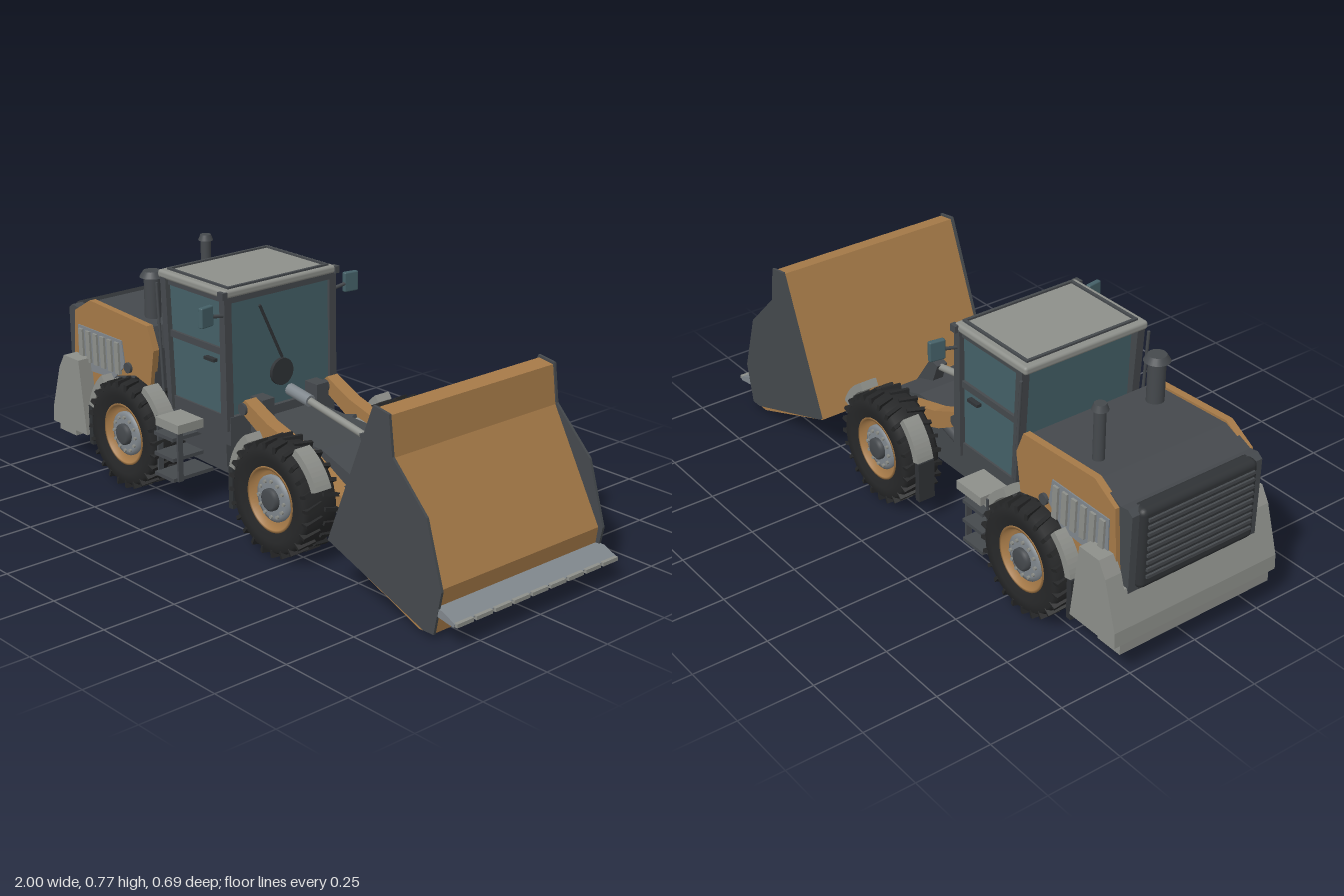
import * as THREE from 'three';
import { RoundedBoxGeometry } from 'three/addons/geometries/RoundedBoxGeometry.js';

const mat = color => new THREE.MeshStandardMaterial({ color });
const ORANGE = mat(0xa67a48), DARK = mat(0x45494d), LIGHT = mat(0x8e908b), GLASS = mat(0x456168);
const TYRE = mat(0x262728), STEEL = mat(0x80878d), BLACK = mat(0x303336);

function group(parent, name) {
  const g = new THREE.Group();
  g.name = name;
  parent.add(g);
  return g;
}
function add(parent, name, geo, material, x = 0, y = 0, z = 0) {
  const m = new THREE.Mesh(geo, material);
  m.name = name;
  m.position.set(x, y, z);
  parent.add(m);
  return m;
}
// box given by its limits on each axis
function box(parent, name, material, x0, x1, y0, y1, z0, z1) {
  return add(parent, name, new THREE.BoxGeometry(x1 - x0, y1 - y0, z1 - z0), material,
    (x0 + x1) / 2, (y0 + y1) / 2, (z0 + z1) / 2);
}
// side profile in x,y drawn out from z0 to z1
function profile(parent, name, material, pts, z0, z1) {
  const shape = new THREE.Shape(pts.map(p => new THREE.Vector2(...p)));
  add(parent, name, new THREE.ExtrudeGeometry(shape, { depth: z1 - z0, bevelEnabled: false }), material, 0, 0, z0);
}
// round bar between two points
function bar(parent, name, material, a, b, r, sides = 14) {
  const p = new THREE.Vector3(...a), d = new THREE.Vector3(...b).sub(p);
  const m = add(parent, name, new THREE.CylinderGeometry(r, r, d.length(), sides), material);
  m.position.copy(p).addScaledVector(d, 0.5);
  m.quaternion.setFromUnitVectors(new THREE.Vector3(0, 1, 0), d.normalize());
}
function lathe(parent, name, material, pts) {
  const geo = new THREE.LatheGeometry(pts.map(p => new THREE.Vector2(...p)), 48);
  add(parent, name, geo.rotateX(Math.PI / 2), material);
}
// span on one side of the model, in ascending order
const span = (s, a, b) => s > 0 ? [a, b] : [-b, -a];

// wheel with its outer face towards +z, turned round for the far side
function wheel(parent, x, side) {
  const g = group(parent, 'wheel');
  lathe(g, 'tyre', TYRE, [[0.1, -0.055], [0.135, -0.066], [0.165, -0.066], [0.175, -0.052], [0.178, 0],
    [0.175, 0.052], [0.165, 0.066], [0.135, 0.066], [0.1, 0.055]]);
  lathe(g, 'rim', ORANGE, [[0, -0.045], [0.106, -0.058], [0.106, 0.058], [0.098, 0.058], [0.085, 0.035], [0, 0.035]]);
  lathe(g, 'hub', STEEL, [[0.075, 0.03], [0.075, 0.045], [0.06, 0.05], [0, 0.05]]);
  lathe(g, 'hubCap', DARK, [[0.036, 0.048], [0.036, 0.062], [0.028, 0.068], [0, 0.068]]);
  for (let i = 0; i < 12; i++) {
    const a = i / 12 * Math.PI * 2, bx = 0.058 * Math.cos(a), by = 0.058 * Math.sin(a);
    bar(g, 'wheelBolt', LIGHT, [bx, by, 0.045], [bx, by, 0.057], 0.006, 6);
  }
  for (let i = 0; i < 48; i++) {
    const lug = group(g, 'treadLug'), s = i % 2 ? 1 : -1;
    const m = box(lug, 'lugBlock', TYRE, 0.16, 0.185, -0.006, 0.006, s * 0.036 - 0.032, s * 0.036 + 0.032);
    m.rotation.x = s * 0.25;
    lug.rotation.z = i / 48 * Math.PI * 2;
  }
  g.position.set(x, 0.187, side * 0.26);
  if (side < 0) g.rotation.y = Math.PI;
}
// curved mudguard piece around a wheel centre, between two angles in degrees
function mudguard(parent, x, from, to, z0, z1) {
  const s = new THREE.Shape(), a = from * Math.PI / 180, b = to * Math.PI / 180;
  s.absarc(x, 0.187, 0.216, a, b, false);
  s.absarc(x, 0.187, 0.19, b, a, true);
  const geo = new THREE.ExtrudeGeometry(s, { depth: z1 - z0, bevelEnabled: false, curveSegments: 5 });
  add(parent, 'mudguard', geo, LIGHT, 0, 0, z0);
}
// upright pipe with cap
function stack(parent, name, x, z, r, top, cap) {
  bar(parent, name, DARK, [x, 0.54, z], [x, top, z], r, 24);
  add(parent, name + 'Cap', new THREE.CylinderGeometry(cap * 0.7, cap, 0.02, 24), DARK, x, top, z);
}

export function createModel() {
  const model = new THREE.Group();
  model.name = 'earthMover';
  const sides = [1, -1];

  // chassis, wheels and steps
  const chassis = group(model, 'chassis');
  profile(chassis, 'rearFrame', DARK, [[-0.92, 0.14], [-0.2, 0.12], [-0.2, 0.24], [-0.36, 0.32], [-0.92, 0.34]], -0.17, 0.17);
  box(chassis, 'articulationJoint', BLACK, -0.22, -0.08, 0.14, 0.28, -0.09, 0.09);
  profile(chassis, 'frontFrame', DARK, [[-0.12, 0.12], [0.28, 0.12], [0.37, 0.2], [0.35, 0.26], [0.2, 0.31], [-0.12, 0.32]], -0.13, 0.13);
  for (const x of [-0.58, 0.173]) {
    bar(chassis, 'axle', DARK, [x, 0.187, -0.23], [x, 0.187, 0.23], 0.05, 20);
    for (const s of sides) {
      const guard = span(s, 0.245, 0.305);
      wheel(model, x, s);
      mudguard(chassis, x, 22, 62, ...guard);
      mudguard(chassis, x, 128, 168, ...guard);
      box(chassis, 'mudflap', BLACK, x - 0.215, x - 0.195, 0.09, 0.23, ...guard);
    }
  }
  for (const s of sides) {
    box(chassis, 'topStep', LIGHT, -0.39, -0.27, 0.275, 0.305, ...span(s, 0.22, 0.325));
    for (const y of [0.1, 0.17, 0.24]) box(chassis, 'step', DARK, -0.4, -0.3, y, y + 0.012, ...span(s, 0.16, 0.325));
    for (const x of [-0.405, -0.3]) box(chassis, 'stepRail', DARK, x, x + 0.008, 0.1, 0.3, ...span(s, 0.29, 0.31));
    box(chassis, 'sideTank', DARK, -0.42, -0.18, 0.16, 0.28, ...span(s, 0.16, 0.2));
    box(chassis, 'armTower', DARK, -0.13, -0.07, 0.28, 0.4, ...span(s, 0.09, 0.14));
  }

  // engine hood and counterweight
  const hood = group(model, 'engineHood');
  profile(hood, 'hoodCore', DARK, [[-0.97, 0.26], [-0.975, 0.525], [-0.955, 0.54], [-0.925, 0.535], [-0.83, 0.576],
    [-0.512, 0.56], [-0.485, 0.49], [-0.5, 0.3], [-0.6, 0.26]], -0.245, 0.245);
  add(hood, 'rearGrille', new RoundedBoxGeometry(0.06, 0.27, 0.44, 3, 0.02), BLACK, -0.96, 0.405, 0);
  for (let i = 0; i < 9; i++) box(hood, 'grilleLouver', DARK, -0.997, -0.98, 0.31 + i * 0.024, 0.32 + i * 0.024, -0.2, 0.2);
  for (const s of sides) {
    profile(hood, 'sidePanel', ORANGE, [[-0.94, 0.25], [-0.92, 0.53], [-0.83, 0.584], [-0.51, 0.568], [-0.478, 0.49],
      [-0.5, 0.36], [-0.58, 0.38], [-0.7, 0.35], [-0.77, 0.25]], ...span(s, 0.236, 0.26));
    profile(hood, 'ventPanel', STEEL, [[-0.9, 0.33], [-0.9, 0.485], [-0.65, 0.485], [-0.635, 0.4], [-0.7, 0.34]], ...span(s, 0.25, 0.264));
    for (let i = 0; i < 6; i++) {
      const x = -0.885 + i * 0.041;
      profile(hood, 'ventSlat', LIGHT, [[x, 0.365], [x + 0.022, 0.365], [x + 0.018, 0.475], [x - 0.004, 0.475]], ...span(s, 0.255, 0.272));
    }
    bar(hood, 'fuelCap', DARK, [-0.615, 0.4, s * 0.24], [-0.615, 0.4, s * 0.27], 0.018, 20);
    profile(hood, 'counterweightSide', LIGHT, [[-1, 0.12], [-0.8, 0.12], [-0.835, 0.38], [-0.92, 0.38], [-0.95, 0.33], [-0.998, 0.17]],
      ...span(s, 0.255, 0.313));
    box(hood, 'towLug', DARK, -0.96, -0.9, 0.075, 0.1, ...span(s, 0.12, 0.15));
  }
  profile(hood, 'counterweight', LIGHT, [[-1, 0.12], [-0.86, 0.12], [-0.86, 0.28], [-0.965, 0.28], [-0.998, 0.17]], -0.256, 0.256);
  box(hood, 'rearBumper', LIGHT, -0.997, -0.9, 0.085, 0.12, -0.29, 0.29);
  stack(hood, 'exhaustPipe', -0.745, -0.175, 0.018, 0.745, 0.026);
  stack(hood, 'airIntake', -0.595, 0.17, 0.028, 0.712, 0.042);

  // cab
  const cab = group(model, 'cab');
  profile(cab, 'cabGlass', GLASS, [[-0.425, 0.33], [-0.145, 0.33], [-0.148, 0.735], [-0.44, 0.735]], -0.215, 0.215);
  box(cab, 'cabBase', DARK, -0.43, -0.13, 0.25, 0.345, -0.222, 0.222);
  box(cab, 'roofSill', DARK, -0.455, -0.14, 0.718, 0.74, -0.222, 0.222);
  add(cab, 'roof', new RoundedBoxGeometry(0.346, 0.028, 0.466, 2, 0.01), LIGHT, -0.31, 0.748, 0);
  for (const s of sides) {
    profile(cab, 'frontPillar', DARK, [[-0.165, 0.3], [-0.133, 0.3], [-0.14, 0.74], [-0.165, 0.74]], ...span(s, 0.205, 0.233));
    profile(cab, 'rearPillar', DARK, [[-0.44, 0.3], [-0.418, 0.3], [-0.44, 0.74], [-0.468, 0.74]], ...span(s, 0.205, 0.233));
    box(cab, 'doorBar', DARK, -0.43, -0.15, 0.546, 0.568, ...span(s, 0.21, 0.225));
    box(cab, 'doorHandle', BLACK, -0.25, -0.2, 0.515, 0.525, ...span(s, 0.21, 0.232));
    bar(cab, 'grabRail', DARK, [-0.45, 0.34, s * 0.242], [-0.475, 0.72, s * 0.242], 0.005, 8);
    bar(cab, 'mirrorArm', DARK, [-0.15, 0.68, s * 0.23], [-0.145, 0.69, s * 0.285], 0.006, 8);
    const mirror = add(cab, 'mirror', new RoundedBoxGeometry(0.018, 0.067, 0.054, 2, 0.005), GLASS, -0.145, 0.693, s * 0.302);
    mirror.rotation.y = s * 0.15;
    box(cab, 'roofLamp', DARK, -0.16, -0.133, 0.735, 0.758, ...span(s, 0.225, 0.244));
    box(cab, 'roofRimSide', DARK, -0.455, -0.155, 0.758, 0.768, ...span(s, 0.2, 0.21));
    box(cab, 'roofRimEnd', DARK, -0.305 + s * 0.15 - 0.005, -0.305 + s * 0.15 + 0.005, 0.758, 0.768, -0.21, 0.21);
  }
  bar(cab, 'wiper', BLACK, [-0.138, 0.5, 0], [-0.14, 0.69, 0.09], 0.005, 8);
  bar(cab, 'steeringWheel', BLACK, [-0.146, 0.45, 0], [-0.134, 0.45, 0], 0.045, 24);

  // lifting arms and tilt linkage
  const arms = group(model, 'liftArms');
  for (const s of sides) {
    profile(arms, 'liftArm', ORANGE, [[-0.125, 0.375], [-0.09, 0.41], [0.02, 0.36], [0.2, 0.31], [0.36, 0.225],
      [0.54, 0.145], [0.515, 0.1], [0.34, 0.17], [0.18, 0.24], [0, 0.305]], ...span(s, 0.15, 0.197));
    bar(arms, 'armPivot', DARK, [-0.095, 0.38, s * 0.13], [-0.095, 0.38, s * 0.205], 0.02);
    bar(arms, 'bucketPin', DARK, [0.515, 0.13, s * 0.135], [0.515, 0.13, s * 0.21], 0.018);
    bar(arms, 'liftCylinder', DARK, [-0.14, 0.24, s * 0.145], [0.06, 0.3, s * 0.145], 0.022);
    bar(arms, 'liftRod', LIGHT, [0.06, 0.3, s * 0.145], [0.2, 0.27, s * 0.145], 0.012);
  }
  bar(arms, 'tiltCylinder', STEEL, [-0.1, 0.4, 0], [0, 0.385, 0], 0.02);
  bar(arms, 'tiltRod', LIGHT, [0, 0.385, 0], [0.28, 0.335, 0], 0.012);
  bar(arms, 'crossTube', DARK, [0.34, 0.215, -0.16], [0.34, 0.215, 0.16], 0.025);
  profile(arms, 'tiltLever', DARK, [[0.25, 0.35], [0.29, 0.36], [0.38, 0.23], [0.44, 0.12], [0.4, 0.1], [0.31, 0.2]], -0.02, 0.02);
  profile(arms, 'bucketLink', DARK, [[0.3, 0.12], [0.45, 0.075], [0.465, 0.1], [0.31, 0.17]], -0.02, 0.02);
  box(arms, 'linkEnd', DARK, 0.4, 0.52, 0.11, 0.15, -0.018, 0.018);

  // bucket
  const bucket = group(model, 'bucket');
  profile(bucket, 'bucketShell', ORANGE, [[0.658, 0.622], [0.714, 0.614], [0.73, 0.492], [0.92, 0.152], [0.9, 0.012],
    [0.845, 0.008], [0.468, 0.155]], -0.336, 0.336);
  for (const s of sides) {
    profile(bucket, 'bucketSide', DARK, [[0.654, 0.63], [0.718, 0.62], [0.734, 0.497], [0.873, 0.358], [0.937, 0.155],
      [0.91, 0.016], [0.87, 0.016], [0.467, 0.16]], ...span(s, 0.336, 0.345));
  }
  profile(bucket, 'cuttingEdge', STEEL, [[0.9, 0.08], [0.985, 0.066], [0.99, 0.078], [0.94, 0.1], [0.9, 0.1]], -0.343, 0.343);
  for (let z = -4; z <= 4; z++) {
    box(bucket, 'edgeTooth', LIGHT, 0.96, 0.998, 0.068, 0.08, z * 0.077 - 0.033, z * 0.077 + 0.033);
  }
  return model;
}
